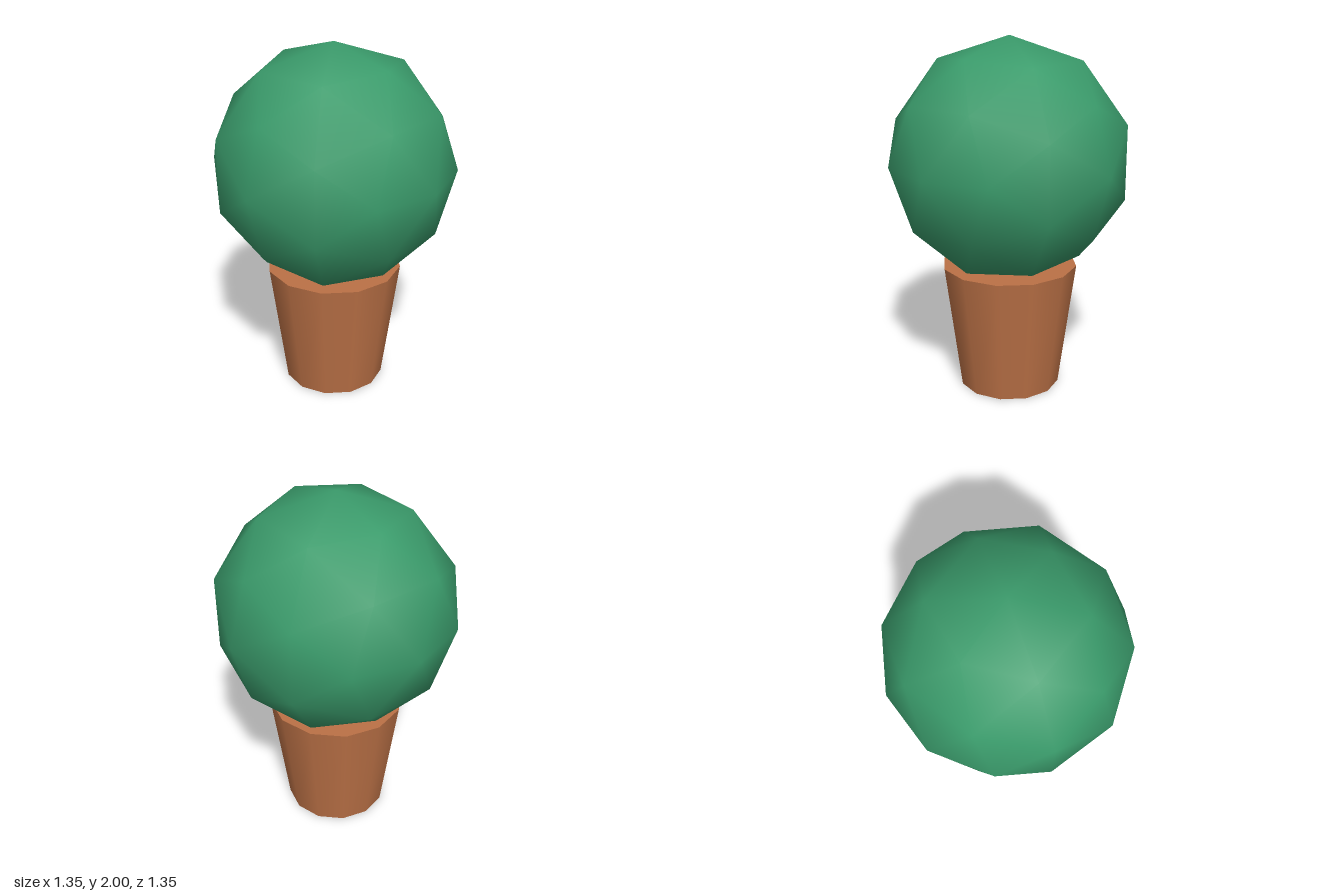
import * as THREE from 'three';

export function createModel() {
  const leafGreen = new THREE.MeshStandardMaterial({ color: 0x3a9b6b });
  leafGreen.name = 'leafGreen';
  const terracotta = new THREE.MeshStandardMaterial({ color: 0xbb7146 });
  terracotta.name = 'terracotta';

  const model = new THREE.Group();
  model.name = 'pottedTopiary';

  // Tapered twelve-sided pot, closed at both ends
  const potHeight = 0.724;
  const pot = new THREE.Mesh(
    new THREE.CylinderGeometry(0.384, 0.289, potHeight, 12),
    terracotta
  );
  pot.name = 'pot';
  pot.position.y = potHeight / 2;

  // Round, smooth-shaded foliage sunk slightly into the pot
  const radius = 0.674;
  const foliage = new THREE.Mesh(new THREE.IcosahedronGeometry(radius, 1), leafGreen);
  foliage.name = 'foliage';
  foliage.position.y = 2 - radius;

  model.add(pot, foliage);
  return model;
}
